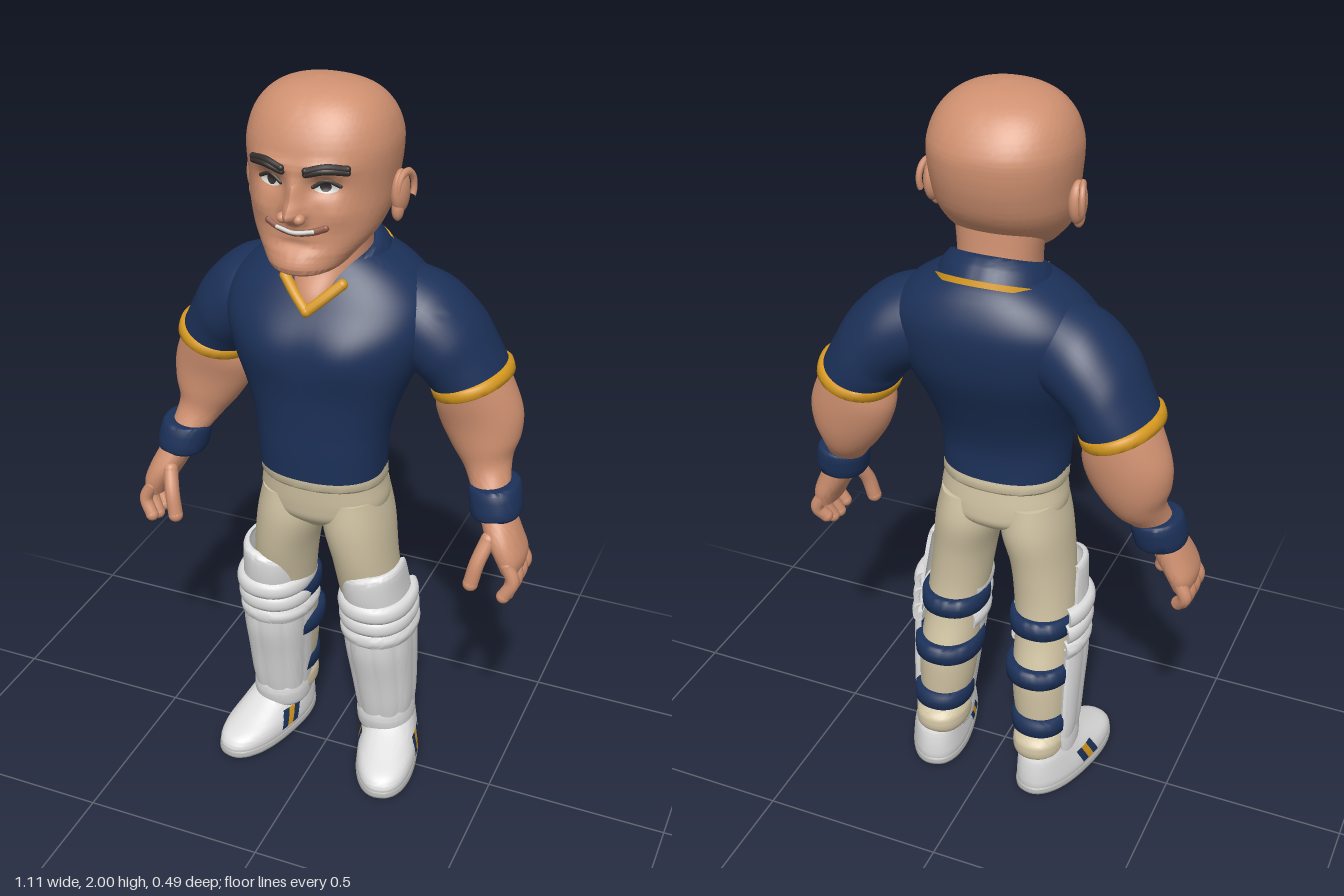
import * as THREE from 'three';
import { mergeGeometries, toCreasedNormals } from 'three/addons/utils/BufferGeometryUtils.js';

const mat = (name, color, side = THREE.FrontSide) => Object.assign(new THREE.MeshStandardMaterial({ color, side }), { name });
const M = {
  skin: mat('skin', 0xcf9070), navy: mat('navy cloth', 0x1c3159), gold: mat('gold trim', 0xd6981f),
  cream: mat('cream cloth', 0xcfc2a2), white: mat('white leather', 0xdedede), sole: mat('grey sole', 0xb4b4b2),
  dark: mat('dark hair', 0x35302e), lip: mat('lip', 0x8f5846), eye: mat('eye and tooth white', 0xd5d5d2),
};
const D = Math.PI / 180;

// A section is [x0, y0, x1, y1, zBack, zFront]; refine smooths between sections.
function refine(secs, sub) {
  const out = [], at = i => secs[Math.min(Math.max(i, 0), secs.length - 1)];
  for (let i = 0; i < secs.length - 1; i++)
    for (let k = i ? 1 : 0; k <= sub; k++) {
      const t = k / sub;
      out.push(at(i).map((b, j) => {
        const a = at(i - 1)[j], c = at(i + 1)[j], d = at(i + 2)[j];
        return b + 0.5 * t * (c - a + t * (2 * a - 5 * b + 4 * c - d + t * (3 * (b - c) + d - a)));
      }));
    }
  return out;
}
const pw = (v, e) => Math.sign(v) * Math.abs(v) ** (2 / e);

// Skin the sections; an arc makes an open shell with thickness.
function loft(secs, { n = 48, sub = 5, e = 2.2, arc, thick = 0.88, rib, bump } = {}) {
  const rows = refine(secs, sub), pos = [], idx = [];
  for (const [x0, y0, x1, y1, zb, zf] of rows)
    for (let k = 0; k < n; k++) {
      let a = k / n * 2 * Math.PI, s = 1;
      if (arc) {
        const h = n / 2, inner = k >= h, t = (inner ? n - 1 - k : k) / (h - 1);
        a = (arc[0] + (arc[1] - arc[0]) * t) * D;
        s = inner ? thick : rib ? rib(t) : 1;
      }
      const c = pw(Math.cos(a), e) * s, q = pw(Math.sin(a), e) * s;
      const x = (x0 + x1) / 2 + c * (x1 - x0) / 2, y = (y0 + y1) / 2 + c * (y1 - y0) / 2;
      pos.push(x, y, (zb + zf) / 2 + q * (zf - zb) / 2 + (bump && q > 0 ? bump(x, y) : 0));
    }
  const R = rows.length;
  for (let i = 0; i < R - 1; i++) for (let k = 0; k < n; k++) {
    const a = i * n + k, b = i * n + (k + 1) % n;
    idx.push(a, a + n, b, b, a + n, b + n);
  }
  for (const r of [0, R - 1]) { // end caps
    const o = r * n, tri = (a, b, c) => r ? idx.push(o + a, o + c, o + b) : idx.push(o + a, o + b, o + c);
    if (arc) for (let k = 0; k < n / 2 - 1; k++) { tri(k, k + 1, n - 1 - k); tri(k + 1, n - 2 - k, n - 1 - k); }
    else for (let k = 1; k < n - 1; k++) tri(0, k, k + 1);
  }
  // turn the faces outwards
  let vol = 0;
  const v = i => new THREE.Vector3().fromArray(pos, i * 3);
  for (let i = 0; i < idx.length; i += 3) vol += v(idx[i]).dot(v(idx[i + 1]).cross(v(idx[i + 2])));
  if (vol < 0) for (let i = 0; i < idx.length; i += 3) [idx[i], idx[i + 1]] = [idx[i + 1], idx[i]];
  const g = new THREE.BufferGeometry();
  g.setAttribute('position', new THREE.Float32BufferAttribute(pos, 3));
  g.setIndex(idx);
  return toCreasedNormals(g, 1);
}
// Front depth of a lofted body at x, y
function frontZ(secs, e, bump, x, y) {
  const rows = refine(secs, 8);
  const i = Math.max(0, rows.findIndex((r, k) => k < rows.length - 1 && (r[1] - y) * (rows[k + 1][1] - y) <= 0));
  const a = rows[i], b = rows[i + 1], t = (y - a[1]) / (b[1] - a[1]), m = a.map((p, j) => p + (b[j] - p) * t);
  const u = Math.min(1, Math.abs(x / m[2]));
  return (m[4] + m[5]) / 2 + (m[5] - m[4]) / 2 * (1 - u ** e) ** (1 / e) + bump(x, y);
}
function conform(g, fn) { // move each vertex by a rule
  const p = g.attributes.position;
  for (let i = 0; i < p.count; i++) p.setXYZ(i, ...fn(p.getX(i), p.getY(i)));
  g.computeVertexNormals();
  return g;
}
function mirrored(src) {
  const g = src.index ? src.toNonIndexed() : src.clone();
  g.scale(-1, 1, 1);
  for (const at of Object.values(g.attributes)) for (let i = 0; i < at.count; i += 3) for (let c = 0; c < at.itemSize; c++) {
    const t = at.getComponent(i + 1, c);
    at.setComponent(i + 1, c, at.getComponent(i + 2, c)); at.setComponent(i + 2, c, t);
  }
  return g;
}
const ball = (x, y, z, rx, ry, rz) => new THREE.SphereGeometry(1, 20, 14).scale(rx, ry, rz).translate(x, y, z);
function limb(pts, r) { // round-ended tube
  const c = new THREE.CatmullRomCurve3(pts.map(p => new THREE.Vector3(...p)));
  const ends = [pts[0], pts[pts.length - 1]].map(p => ball(...p, r, r, r));
  return mergeGeometries([new THREE.TubeGeometry(c, 16, r, 10), ...ends]);
}
const ring = (r, y, zb, zf) => [-r, y, r, y, zb, zf];
const gauss = (x, y, cx, cy, sx, sy) => Math.exp(-(((x - cx) / sx) ** 2) - ((y - cy) / sy) ** 2);

export function createModel() {
  const root = new THREE.Group();
  root.name = 'batsman';
  const add = (name, g, m) => { const o = new THREE.Mesh(g, m); o.name = name; root.add(o); };
  const pair = (name, g, m) => { add('left ' + name, g, m); add('right ' + name, mirrored(g), m); };

  // Head with sculpted face
  const headS = [ring(0.04, 1.565, 0.1, 0.19), ring(0.085, 1.58, 0.02, 0.212), ring(0.115, 1.61, -0.04, 0.208), ring(0.15, 1.655, -0.1, 0.195),
    ring(0.17, 1.71, -0.148, 0.19), ring(0.178, 1.77, -0.172, 0.188), ring(0.184, 1.83, -0.182, 0.19), ring(0.182, 1.875, -0.178, 0.184),
    ring(0.165, 1.925, -0.15, 0.16), ring(0.13, 1.965, -0.108, 0.125), ring(0.075, 1.99, -0.05, 0.08), ring(0.002, 2, 0.015, 0.02)];
  const faceBump = (x, y) => {
    const u = Math.abs(x);
    return 0.046 * gauss(x, y, 0, 1.725, 0.026, 0.024) + 0.03 * gauss(x, y, 0, 1.765, 0.02, 0.045) - 0.018 * gauss(u, y, 0.068, 1.787, 0.035, 0.022)
      + 0.012 * gauss(u, y, 0.06, 1.832, 0.06, 0.018) + 0.008 * gauss(u, y, 0.095, 1.72, 0.035, 0.03)
      - 0.008 * gauss(x, y, 0, 1.645, 0.05, 0.012) + 0.008 * gauss(x, y, 0, 1.6, 0.05, 0.025);
  };
  add('head', loft(headS, { n: 128, sub: 8, e: 2.2, bump: faceBump }), M.skin);
  const faceZ = (x, y) => frontZ(headS, 2.2, faceBump, x, y);
  const onFace = (pts, off) => pts.map(([x, y]) => [x, y, faceZ(x, y) + off]);
  pair('nostril', ball(0.021, 1.718, faceZ(0.021, 1.718), 0.014, 0.013, 0.016), M.skin);
  pair('ear', mergeGeometries([ball(0.187, 1.735, -0.005, 0.022, 0.055, 0.036), ball(0.186, 1.695, 0.008, 0.015, 0.03, 0.018)]), M.skin);
  pair('ear rim', new THREE.TorusGeometry(0.032, 0.008, 8, 24, 4.4).rotateZ(-0.6).scale(1, 1.3, 1).rotateY(Math.PI / 2 - 0.3).translate(0.2, 1.742, -0.008), M.skin);
  const oval = (rx, ry, x, y, off) => conform(new THREE.RingGeometry(0.001, 1, 24, 3), (a, b) => {
    const px = x + a * rx, py = y + b * ry;
    return [px, py, faceZ(px, py) + off];
  });
  pair('eye', oval(0.029, 0.014, 0.07, 1.787, 0.003), M.eye);
  pair('iris', oval(0.013, 0.013, 0.068, 1.789, 0.005), M.dark);
  pair('upper lid', limb(onFace([[0.04, 1.787], [0.07, 1.803], [0.1, 1.79]], 0), 0.005), M.dark);
  for (const dy of [0, 0.009]) pair('eyebrow', limb(onFace([[0.03, 1.822 + dy], [0.075, 1.833 + dy], [0.118, 1.826 + dy]], 0.001), 0.008), M.dark);
  const smile = dy => [-0.072, -0.045, 0, 0.045, 0.072].map(x => [x, 1.675 + dy + 3.2 * x * x]);
  add('lips', limb(onFace(smile(0), -0.002), 0.009), M.lip);
  add('teeth', limb(onFace(smile(0.001).slice(1, 4), 0.003), 0.0055), M.eye);
  add('neck', loft([ring(0.07, 1.43, -0.1, 0.13), ring(0.075, 1.48, -0.13, 0.118), ring(0.1, 1.54, -0.145, 0.085), ring(0.105, 1.6, -0.125, 0.07),
    ring(0.115, 1.68, -0.115, 0.07)]), M.skin);

  // Shirt
  const torsoS = [ring(0.168, 0.975, -0.12, 0.152), ring(0.172, 1.05, -0.12, 0.156), ring(0.182, 1.12, -0.138, 0.158), ring(0.208, 1.2, -0.172, 0.163),
    ring(0.25, 1.3, -0.218, 0.172), ring(0.272, 1.38, -0.238, 0.16), ring(0.265, 1.45, -0.242, 0.122), ring(0.215, 1.51, -0.222, 0.085),
    ring(0.145, 1.555, -0.188, 0.05), ring(0.09, 1.575, -0.15, 0.02)];
  const chest = (x, y) => 0.014 * gauss(Math.abs(x), y, 0.1, 1.34, 0.08, 0.07);
  add('shirt body', loft(torsoS, { n: 72, e: 2.3, bump: chest }), M.navy);
  const sleeveEnd = [[0.265, 1.19, 0.45, 1.255, -0.238, 0.015]];
  pair('sleeve', loft([[0.12, 1.3, 0.14, 1.53, -0.19, 0.03], [0.19, 1.27, 0.275, 1.49, -0.225, 0.05], [0.235, 1.235, 0.365, 1.41, -0.236, 0.045],
    [0.247, 1.215, 0.412, 1.33, -0.24, 0.028], ...sleeveEnd], { e: 2 }), M.navy);
  const cuff = (dx, dy, g) => [0.262 + dx - g, 1.195 + dy, 0.447 + dx + g, 1.262 + dy, -0.236 - g, 0.014 + g];
  pair('sleeve trim', loft([cuff(-0.004, 0.014, 0), cuff(-0.002, 0.01, 0.008), cuff(0.006, -0.014, 0.008), cuff(0.007, -0.018, 0)], { e: 2, sub: 2 }), M.gold);
  const collar = secs => loft(secs, { arc: [122, 418], e: 2, thick: 0.9, n: 80 }).rotateX(0.4).translate(0, 1.545, -0.045);
  add('collar', collar([ring(0.155, -0.035, -0.145, 0.155), ring(0.142, 0.005, -0.135, 0.138), ring(0.122, 0.035, -0.115, 0.11)]), M.navy);
  add('collar trim', collar([ring(0.157, -0.04, -0.147, 0.158), ring(0.158, -0.025, -0.148, 0.157)]), M.gold);
  const chestZ = (x, y) => frontZ(torsoS, 2.3, chest, x, y);
  pair('neckline trim', limb([[0, 1.445], [0.035, 1.475], [0.075, 1.51]].map(([x, y]) => [x, y, chestZ(x, y) + 0.004]), 0.014), M.gold);

  // Arms, wristbands and hands
  pair('arm', loft([[0.285, 1.21, 0.425, 1.29, -0.215, -0.01], [0.262, 1.15, 0.465, 1.21, -0.218, -0.02], [0.275, 1.09, 0.49, 1.14, -0.213, -0.032],
    [0.31, 1.03, 0.49, 1.075, -0.2, -0.035], [0.35, 0.98, 0.475, 1.015, -0.175, -0.035], [0.385, 0.93, 0.485, 0.95, -0.125, -0.01],
    [0.41, 0.87, 0.505, 0.88, -0.105, 0.015]], { e: 2 }), M.skin);
  pair('wristband', loft([[0.39, 0.952, 0.495, 0.965, -0.13, -0.005], [0.378, 0.943, 0.51, 0.957, -0.142, 0.006], [0.388, 0.88, 0.523, 0.893, -0.132, 0.018],
    [0.4, 0.87, 0.512, 0.88, -0.12, 0.008]], { sub: 3 }), M.navy);
  pair('palm', loft([[0.418, 0.885, 0.508, 0.885, -0.1, 0.015], [0.442, 0.83, 0.532, 0.835, -0.1, 0.04], [0.472, 0.78, 0.55, 0.785, -0.1, 0.046],
    [0.49, 0.745, 0.545, 0.745, -0.09, 0.038]]), M.skin);
  [-0.08, -0.044, -0.007, 0.03].forEach((z, i) => {
    const low = [0.69, 0.668, 0.662, 0.675][i];
    pair('finger', limb([[0.515, 0.775, z], [0.535, 0.73, z * 1.05 + 0.003], [0.515, low + 0.01, z + 0.012]], 0.0185), M.skin);
  });
  pair('thumb', limb([[0.46, 0.835, 0.02], [0.442, 0.775, 0.05], [0.43, 0.715, 0.06]], 0.0205), M.skin);

  // Trousers
  add('trouser hips', loft([ring(0.05, 0.8, -0.08, 0.08), ring(0.15, 0.84, -0.125, 0.122), ring(0.173, 0.88, -0.13, 0.133), ring(0.166, 0.94, -0.122, 0.138), ring(0.163, 0.99, -0.112, 0.14)]), M.cream);
  add('waistband', loft([ring(0.165, 0.942, -0.118, 0.138), ring(0.17, 0.948, -0.124, 0.144), ring(0.168, 0.985, -0.118, 0.146)], { sub: 2 }), M.cream);
  const leg = (a, b, y, zb, zf) => [a, y, b, y, zb, zf];
  pair('trouser leg', loft([leg(0.02, 0.165, 0.9, -0.12, 0.12), leg(0.004, 0.185, 0.81, -0.132, 0.128), leg(0.03, 0.197, 0.7, -0.118, 0.115),
    leg(0.045, 0.21, 0.58, -0.115, 0.085), leg(0.055, 0.215, 0.48, -0.132, 0.06), leg(0.06, 0.22, 0.38, -0.163, 0.04), leg(0.068, 0.22, 0.28, -0.165, 0.01),
    leg(0.085, 0.215, 0.19, -0.16, -0.01)], { e: 2.1 }), M.cream);
  pair('trouser cuff', loft([leg(0.09, 0.21, 0.11, -0.17, -0.02), leg(0.078, 0.222, 0.13, -0.186, -0.005), leg(0.078, 0.222, 0.165, -0.186, -0.005), leg(0.09, 0.212, 0.185, -0.165, -0.02)]), M.cream);

  // Leg pads with ribs, knee rolls and straps
  const padArc = [-42, 205];
  const ribs = t => 1 + 0.055 * Math.abs(Math.sin(t * Math.PI * 6)) ** 0.5;
  pair('leg pad shin', loft([leg(0.09, 0.232, 0.13, -0.145, 0.02), leg(0.083, 0.24, 0.2, -0.15, 0.038), leg(0.073, 0.243, 0.3, -0.15, 0.06),
    leg(0.064, 0.245, 0.4, -0.145, 0.085), leg(0.06, 0.243, 0.47, -0.14, 0.092)], { n: 160, arc: padArc, rib: ribs }), M.white);
  pair('leg pad instep', loft([leg(0.095, 0.228, 0.09, -0.14, 0.012), leg(0.084, 0.24, 0.105, -0.148, 0.025), leg(0.082, 0.242, 0.15, -0.152, 0.035), leg(0.09, 0.238, 0.185, -0.15, 0.03)],
    { n: 80, arc: padArc }), M.white);
  pair('leg pad top', loft([leg(0.062, 0.24, 0.55, -0.125, 0.102), [0.06, 0.61, 0.233, 0.62, -0.11, 0.115], [0.064, 0.655, 0.228, 0.68, -0.085, 0.118],
    [0.072, 0.668, 0.222, 0.695, -0.075, 0.108]], { n: 80, arc: [-20, 200] }), M.white);
  for (const y of [0.47, 0.518, 0.566]) {
    const z = (y - 0.47) * 0.2;
    pair('knee roll', loft([-1, -0.7, 0, 0.7, 1].map(t => {
      const g = 0.015 * Math.sqrt(1 - t * t);
      return leg(0.06 - g, 0.242 + g, y + t * 0.027, -0.14 + z - g, 0.088 + z + g);
    }), { n: 80, sub: 2, arc: padArc }), M.white);
  }
  for (const [y, a, b, zb, zf] of [[0.53, 0.042, 0.222, -0.14, 0.07], [0.39, 0.046, 0.23, -0.178, 0.04], [0.225, 0.07, 0.228, -0.18, 0]])
    pair('pad strap', loft([leg(a + 0.012, b - 0.012, y - 0.028, zb + 0.014, zf - 0.01), leg(a, b, y - 0.022, zb, zf), leg(a, b, y + 0.022, zb, zf),
      leg(a + 0.012, b - 0.012, y + 0.028, zb + 0.014, zf - 0.01)], { sub: 2 }), M.navy);

  // Shoes, turned out a little, with side stripes
  const place = g => g.rotateY(0.24).translate(0.19, 0, 0);
  const shoeS = [ring(0.078, 0.012, -0.192, 0.178), ring(0.084, 0.035, -0.197, 0.184), ring(0.082, 0.06, -0.197, 0.165), ring(0.076, 0.085, -0.195, 0.105),
    ring(0.068, 0.115, -0.19, 0.035), ring(0.06, 0.14, -0.178, -0.005)];
  pair('shoe', place(loft(shoeS, { e: 2.3 })), M.white);
  pair('shoe sole', place(loft([ring(0.08, 0, -0.19, 0.175), ring(0.086, 0.006, -0.199, 0.186), ring(0.086, 0.02, -0.2, 0.187), ring(0.08, 0.026, -0.194, 0.18)], { e: 2.3, sub: 2 })), M.sole);
  const rows = refine(shoeS, 8);
  for (const s of [1, -1]) [M.navy, M.gold, M.navy].forEach((m, i) => {
    const g = conform(new THREE.PlaneGeometry(0.024, 0.05, 4, 8), (u, v) => {
      const y = 0.068 + v, z = 0.015 - i * 0.024 - s * u - v * 0.5;
      const r = rows.reduce((p, q) => Math.abs(q[1] - y) < Math.abs(p[1] - y) ? q : p);
      const w = (z - (r[4] + r[5]) / 2) / ((r[5] - r[4]) / 2);
      return [s * (r[2] * Math.max(0, 1 - Math.abs(w) ** 2.3) ** (1 / 2.3) + 0.004), y, z];
    });
    pair('shoe stripe', place(g), m);
  });
  return root;
}
